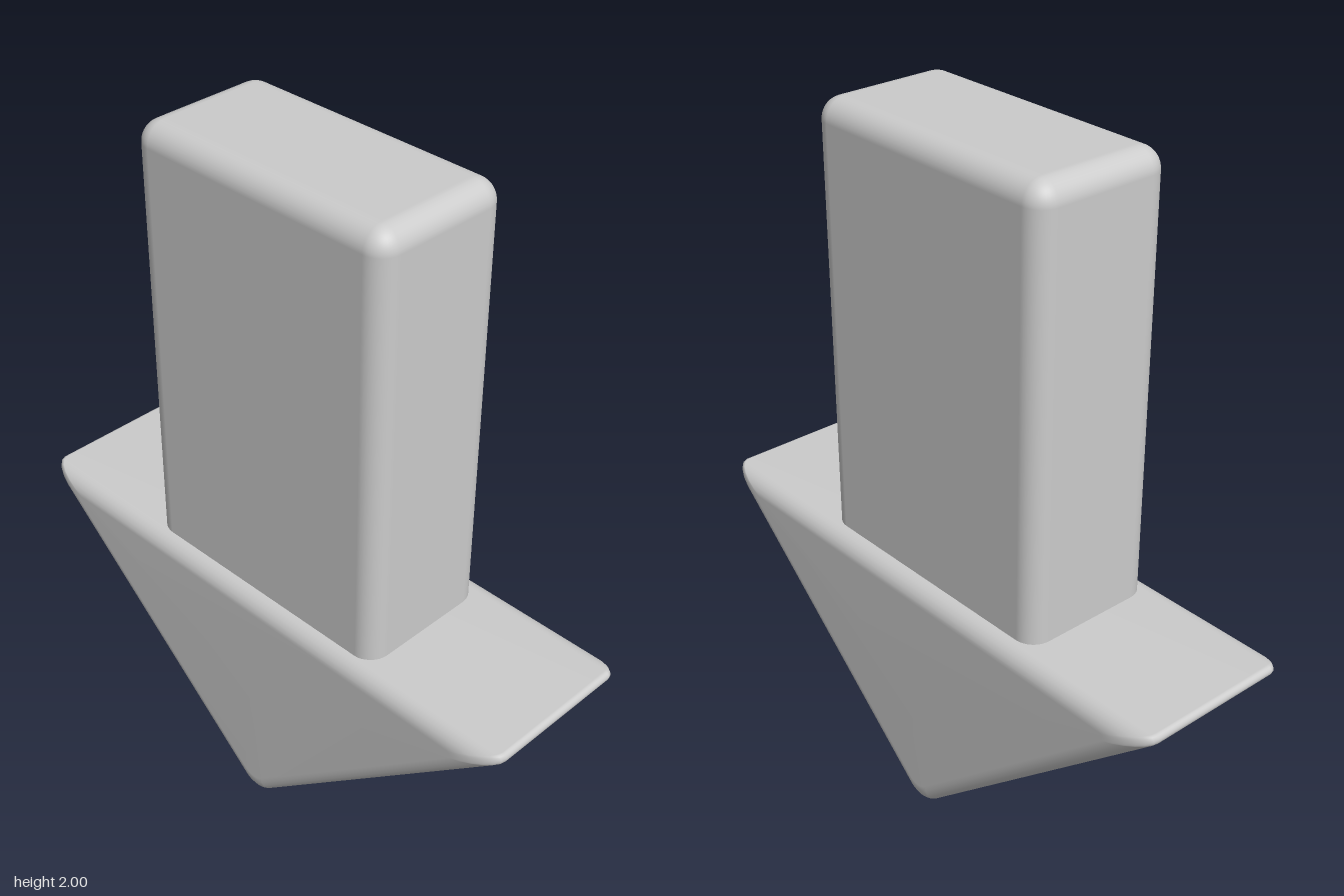
import * as THREE from 'three';
import { RoundedBoxGeometry } from 'three/addons/geometries/RoundedBoxGeometry.js';

const TOP = 0.76, BOTTOM = -0.02, HALF = 0.889; // sharp triangle before rounding
const WIDTH = 0.255, BEVEL = 0.053;             // half thickness and edge rounding

// Triangular prism with rounded corners and rounded rims, lofted along x
function headGeometry() {
  const height = TOP - BOTTOM;
  const slope = Math.atan2(height, HALF);
  const inradius = HALF * height / (HALF + Math.hypot(HALF, height));
  const midY = TOP - inradius;

  // Outline relative to the incentre, counter-clockwise seen from +x (u = -z)
  const down = Math.PI * 1.5;
  const corners = [
    { u: -HALF, v: TOP, r: 0.015, from: Math.PI / 2, to: down - slope },
    { u: 0, v: BOTTOM, r: 0.06, from: down - slope, to: down + slope },
    { u: HALF, v: TOP, r: 0.015, from: down + slope, to: Math.PI * 2.5 },
  ];
  const outline = [];
  for (const { u, v, r, from, to } of corners) {
    const k = 1 - r / inradius;
    for (let i = 0; i <= 8; i++) {
      const a = from + (to - from) * i / 8;
      outline.push([u * k + r * Math.cos(a), (v - midY) * k + r * Math.sin(a)]);
    }
  }

  // Layers: the outline shrinks towards the incentre around each rim
  const layers = [];
  const steps = 6;
  for (let i = 0; i <= steps; i++) {
    const t = Math.PI / 2 * i / steps;
    layers.push({
      x: WIDTH - BEVEL + BEVEL * Math.sin(t),
      scale: 1 - BEVEL * (1 - Math.cos(t)) / inradius,
    });
  }
  const mirrored = layers.map(({ x, scale }) => ({ x: -x, scale })).reverse();
  const all = [...mirrored, ...layers];

  const positions = [], index = [], n = outline.length;
  for (const { x, scale } of all)
    for (const [u, v] of outline) positions.push(x, midY + v * scale, -u * scale);
  const centre = all.length * n;
  positions.push(-WIDTH, midY, 0, WIDTH, midY, 0);

  for (let i = 0; i < n; i++) {
    const j = (i + 1) % n;
    for (let l = 0; l < all.length - 1; l++) {
      const a = l * n + i, b = l * n + j;
      index.push(a, b, b + n, a, b + n, a + n);
    }
    const last = (all.length - 1) * n;
    index.push(centre, j, i, centre + 1, last + i, last + j);
  }

  const geometry = new THREE.BufferGeometry();
  geometry.setAttribute('position', new THREE.Float32BufferAttribute(positions, 3));
  geometry.setIndex(index);
  geometry.computeVertexNormals();
  return geometry;
}

export function createModel() {
  const group = new THREE.Group();
  group.name = 'downArrow';
  const material = new THREE.MeshStandardMaterial({ color: 0xcccccc });

  // Wedge pointing down
  const head = new THREE.Mesh(headGeometry(), material);
  head.name = 'arrowHead';
  group.add(head);

  // Rounded block, its lower end sunk into the wedge
  const shaft = new THREE.Mesh(new RoundedBoxGeometry(0.416, 1.4, 0.836, 5, 0.06), material);
  shaft.name = 'arrowShaft';
  shaft.position.set(-0.004, 1.3, 0);
  group.add(shaft);

  return group;
}
